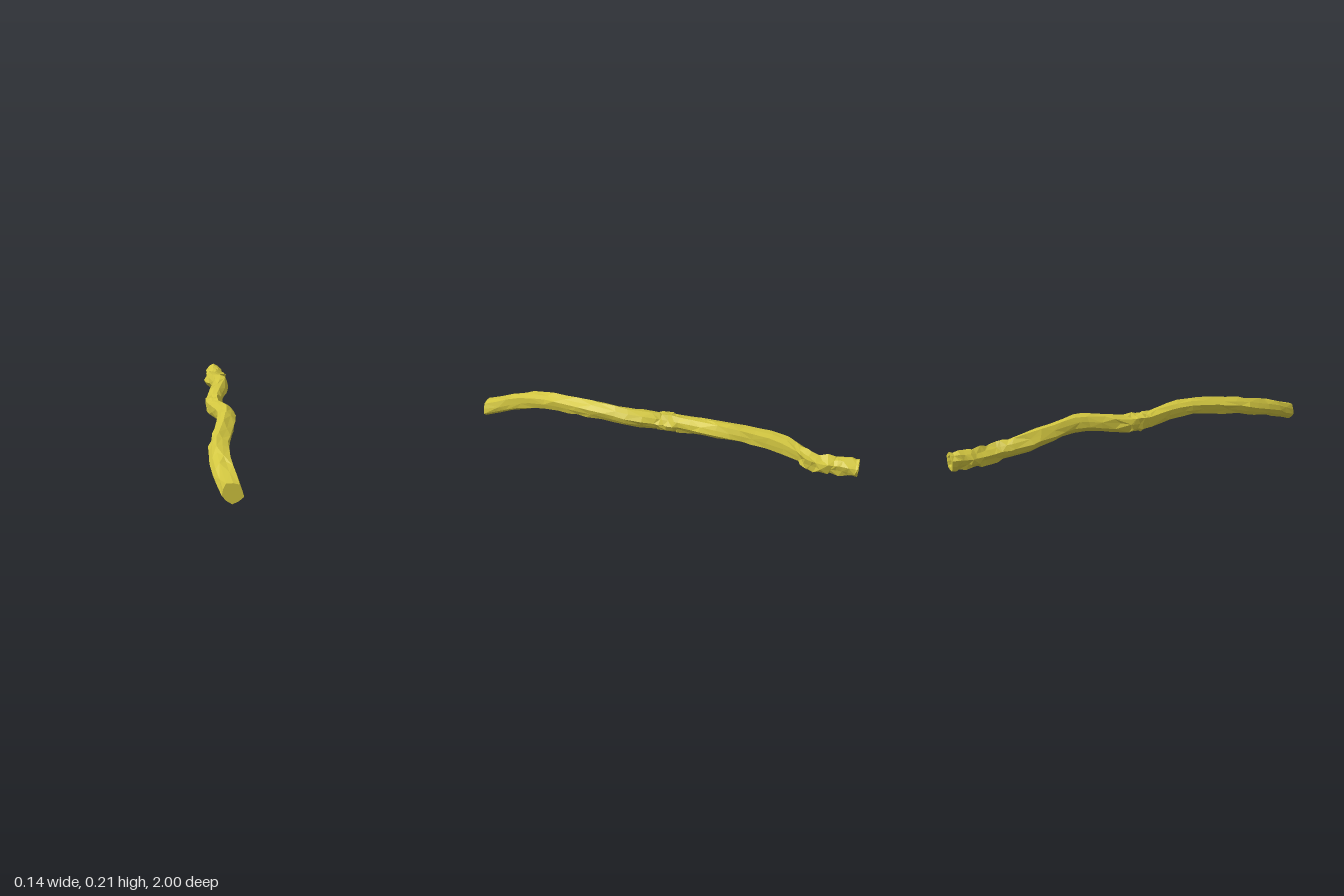
import * as THREE from 'three';

const SIDES = 10;

// Centre line and thickness along the branch: [z, x, y, radius]
const STATIONS = [
  [1, 0.01, 0.047, 0.045], [0.9, -0.012, 0.077, 0.045], [0.8, -0.028, 0.105, 0.045],
  [0.68, -0.035, 0.13, 0.045], [0.5, -0.006, 0.149, 0.044], [0.4, 0.008, 0.157, 0.044],
  [0.3, 0.016, 0.16, 0.043], [0.2, 0.014, 0.152, 0.044], [0.1, -0.01, 0.143, 0.046],
  [0.04, -0.03, 0.135, 0.042], [0, -0.034, 0.135, 0.044], [-0.07, -0.034, 0.137, 0.045],
  [-0.15, -0.022, 0.147, 0.042], [-0.25, 0.002, 0.164, 0.044], [-0.33, 0.015, 0.17, 0.045],
  [-0.43, -0.004, 0.159, 0.043], [-0.6, -0.028, 0.131, 0.045], [-0.7, -0.01, 0.106, 0.043],
  [-0.76, 0.022, 0.09, 0.046], [-0.83, 0.016, 0.082, 0.044], [-0.91, -0.006, 0.08, 0.044],
  [-1, -0.003, 0.084, 0.044],
];

function seededRandom(seed) {
  return () => {
    seed = (seed * 16807) % 2147483647;
    return seed / 2147483647 * 2 - 1;
  };
}

// Linear lookup of centre and radius at a given z
function sample(z) {
  let i = 0;
  while (i < STATIONS.length - 2 && STATIONS[i + 1][0] > z) i++;
  const a = STATIONS[i], b = STATIONS[i + 1];
  const t = (a[0] - z) / (a[0] - b[0]);
  return a.map((v, k) => v + (b[k] - v) * t);
}

// Gnarled zones: the middle knot and the rough back end
function roughness(z) {
  if (z < -0.7) return 1;
  return Math.abs(z + 0.01) < 0.08 ? 1 : 0;
}

function branchGeometry() {
  const rnd = seededRandom(4711);
  const positions = [], index = [];
  let rings = 0;

  const addRing = (z, scale, jitter, zJitter) => {
    const [, cx, cy, r] = sample(Math.max(z, -1));
    for (let j = 0; j < SIDES; j++) {
      const a = (j / SIDES) * Math.PI * 2 + z * 0.9;
      const ridge = 1 + 0.07 * Math.cos(5 * (j / SIDES) * Math.PI * 2) + jitter * rnd();
      const rr = r * scale * ridge;
      positions.push(cx + rr * Math.cos(a), cy + rr * Math.sin(a), z + zJitter * rnd());
    }
    rings++;
  };

  // Bark: long facets on smooth wood, short crumpled ones in the knots
  let z = 1;
  addRing(1, 1, 0.06, 0);
  while (true) {
    const rough = roughness(z - 0.03);
    z -= rough ? 0.026 : 0.068;
    if (z < -0.985) break;
    addRing(z, 1, rough ? 0.19 : 0.08, rough ? 0.011 : 0.02);
  }

  // Broken back end: rim and shallow hollow
  addRing(-1, 1, 0.1, 0);
  addRing(-1, 0.65, 0.12, 0);
  addRing(-0.96, 0.45, 0.12, 0.006);

  for (let i = 0; i < rings - 1; i++) {
    for (let j = 0; j < SIDES; j++) {
      const a = i * SIDES + j, b = i * SIDES + (j + 1) % SIDES;
      const c = a + SIDES, d = b + SIDES;
      if ((i + j) % 2) index.push(a, c, b, b, c, d);
      else index.push(a, c, d, a, d, b);
    }
  }

  // Front cap and floor of the hollow
  const last = (rings - 1) * SIDES, front = rings * SIDES, back = front + 1;
  const [, fx, fy] = sample(1), [, bx, by] = sample(-1);
  positions.push(fx, fy, 1, bx, by, -0.95);
  for (let j = 0; j < SIDES; j++) {
    const k = (j + 1) % SIDES;
    index.push(front, j, k, back, last + k, last + j);
  }

  const geometry = new THREE.BufferGeometry();
  geometry.setAttribute('position', new THREE.Float32BufferAttribute(positions, 3));
  geometry.setIndex(index);
  const flat = geometry.toNonIndexed();
  flat.computeVertexNormals();

  // Rest the lowest point on the ground
  flat.computeBoundingBox();
  flat.translate(0, -flat.boundingBox.min.y, 0);
  return flat;
}

export function createModel() {
  const group = new THREE.Group();
  group.name = 'branch';
  const material = new THREE.MeshStandardMaterial({ color: 0xd2c640, flatShading: true });
  const wood = new THREE.Mesh(branchGeometry(), material);
  wood.name = 'gnarledWood';
  group.add(wood);
  return group;
}
